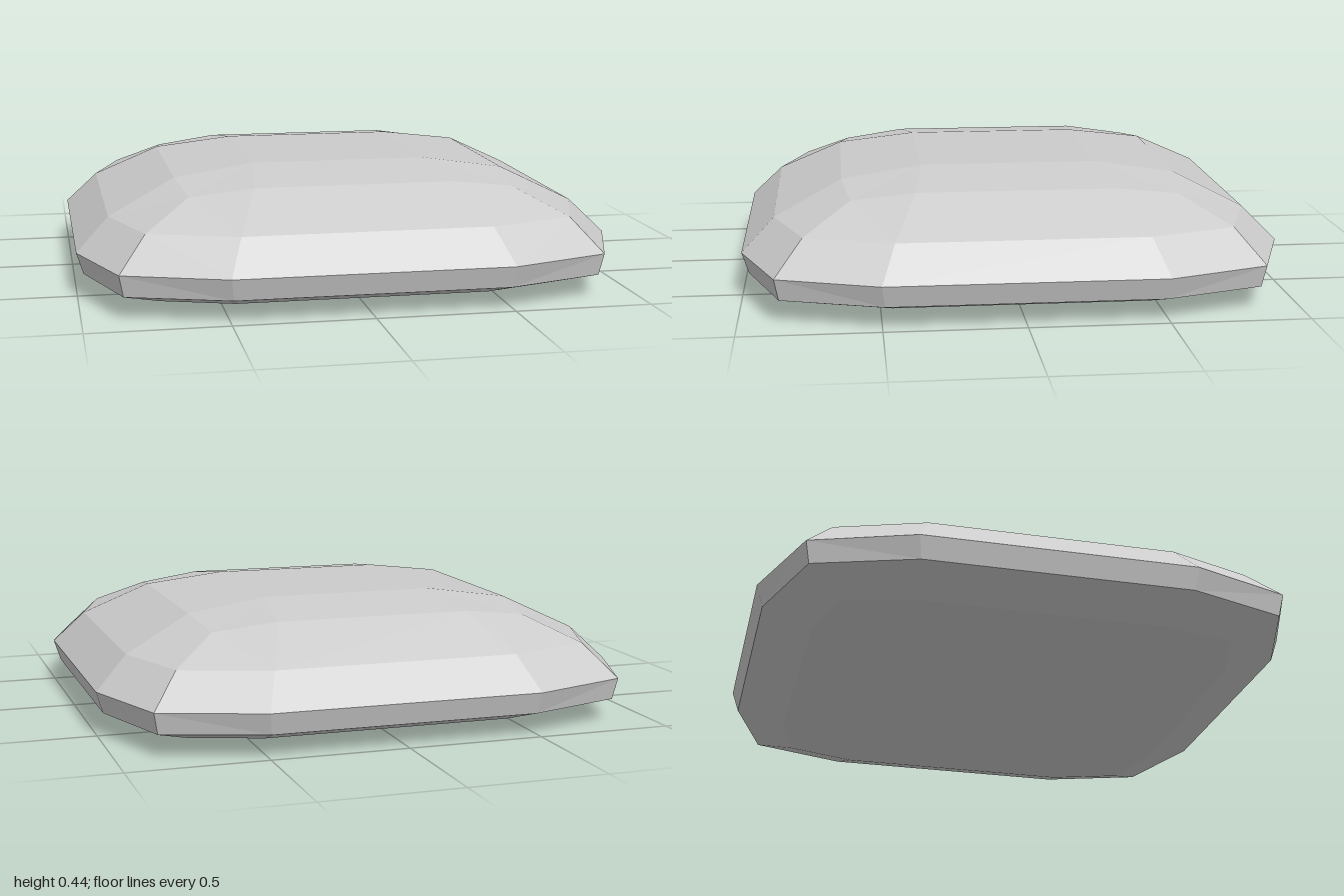
import * as THREE from 'three';

// Cross-sections from bottom to top:
// [side reach, half length of side, corner reach, side height, corner height]
const sections = [
  [0.44, 0.44, 0.44, 0.0, 0.0],
  [0.79, 0.46, 0.72, 0.02, 0.025],
  [0.975, 0.49, 0.855, 0.08, 0.08],
  [1.0, 0.5, 0.87, 0.16, 0.16],
  [0.88, 0.45, 0.77, 0.28, 0.28],
  [0.63, 0.365, 0.6, 0.4, 0.37],
  [0.33, 0.33, 0.33, 0.44, 0.44],
];

// Twelve points around one section: three per corner, turned by quarter turns
function ring([side, half, corner, ySide, yCorner]) {
  const points = [];
  for (let k = 0; k < 4; k++) {
    for (const [x, y, z] of [[side, ySide, -half], [corner, yCorner, -corner], [half, ySide, -side]]) {
      points.push(new THREE.Vector3(
        [x, z, -x, -z][k], y, [z, -x, -z, x][k],
      ));
    }
  }
  return points;
}

function cushionGeometry() {
  const rings = sections.map(ring);
  const positions = [];
  const triangle = (a, b, c) => {
    if (new THREE.Triangle(a, b, c).getArea() < 1e-6) return; // collapsed corner
    for (const p of [a, b, c]) positions.push(p.x, p.y, p.z);
  };

  // Bands between neighbouring sections, split symmetrically at the corners
  for (let r = 0; r < rings.length - 1; r++) {
    for (let i = 0; i < 12; i++) {
      const j = (i + 1) % 12;
      const a = rings[r][i], b = rings[r][j], c = rings[r + 1][j], d = rings[r + 1][i];
      if (i % 3 === 1) {
        triangle(a, b, d);
        triangle(b, c, d);
      } else {
        triangle(a, b, c);
        triangle(a, c, d);
      }
    }
  }

  // Flat centre panels on the top and the underside
  const top = rings[rings.length - 1], base = rings[0];
  triangle(top[0], top[3], top[6]);
  triangle(top[0], top[6], top[9]);
  triangle(base[0], base[6], base[3]);
  triangle(base[0], base[9], base[6]);

  const geometry = new THREE.BufferGeometry();
  geometry.setAttribute('position', new THREE.Float32BufferAttribute(positions, 3));
  geometry.computeVertexNormals();
  return geometry;
}

export function createModel() {
  const group = new THREE.Group();
  group.name = 'cushionModel';
  const cushion = new THREE.Mesh(
    cushionGeometry(),
    new THREE.MeshStandardMaterial({ color: 0xcccccc, flatShading: true }),
  );
  cushion.name = 'cushion';
  group.add(cushion);
  return group;
}
